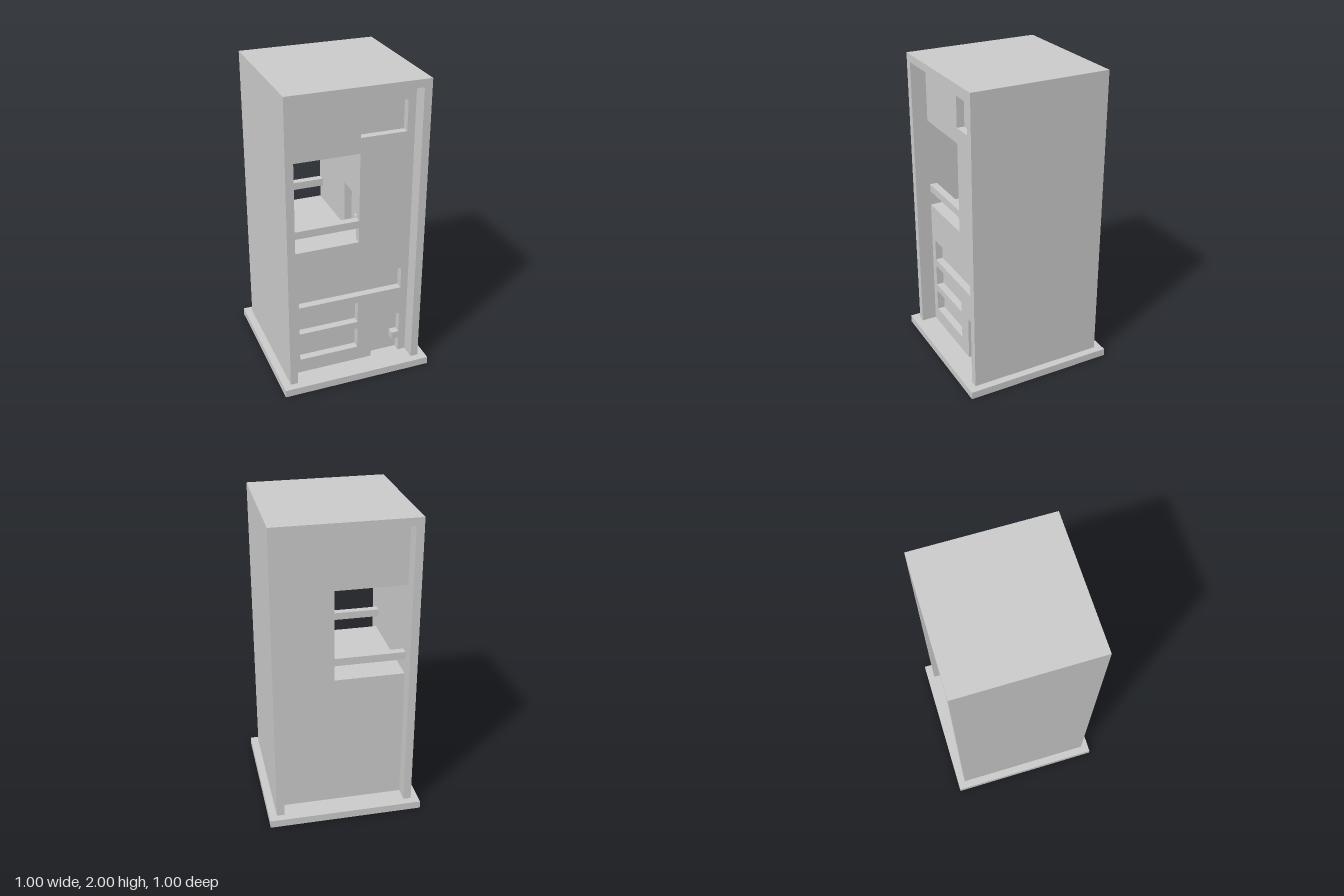
import * as THREE from 'three';

const material = new THREE.MeshStandardMaterial({ color: 0xcccccc, flatShading: true });

export function createModel() {
  const model = new THREE.Group();

  const add = (name, geometry) => {
    const mesh = new THREE.Mesh(geometry, material);
    mesh.name = name;
    model.add(mesh);
    return mesh;
  };

  // Box given by its lower and upper limits on each axis
  const box = (name, [x0, x1], [y0, y1], [z0, z1]) =>
    add(name, new THREE.BoxGeometry(x1 - x0, y1 - y0, z1 - z0))
      .position.set((x0 + x1) / 2, (y0 + y1) / 2, (z0 + z1) / 2);

  const outline = (points) => new THREE.Shape(points.map(([x, y]) => new THREE.Vector2(x, y)));
  const plate = (name, shape, depth) =>
    add(name, new THREE.ExtrudeGeometry(shape, { depth, bevelEnabled: false }));

  // Base slab
  box('base', [-0.5, 0.5], [0, 0.05], [-0.5, 0.5]);

  // Outer casing: two side walls and a roof, open at front and back
  plate('casing', outline([
    [-0.45, 0.05], [-0.4, 0.05], [-0.4, 1.95], [0.4, 1.95],
    [0.4, 0.05], [0.45, 0.05], [0.45, 2], [-0.45, 2],
  ]), 0.9).position.z = -0.45;

  // Solid body around the walk-through compartment
  const bodyDepth = [-0.35, 0.3];
  box('lowerBody', [-0.4, 0.4], [0.05, 0.95], bodyDepth);
  box('upperBody', [-0.4, 0.4], [1.55, 1.95], bodyDepth);
  box('sideBody', [0.1, 0.4], [0.95, 1.55], bodyDepth);

  // Front panel with window, rail, door cut-out and door handle in one outline
  const front = outline([
    [-0.4, 0.05], [0.15, 0.05], [0.15, 0.35], [0.35, 0.35], [0.35, 0.2], [0.3, 0.2],
    [0.3, 0.15], [0.35, 0.15], [0.35, 0.05], [0.4, 0.05], [0.4, 1.95], [-0.4, 1.95],
    [-0.4, 1.55], [0.05, 1.55], [0.05, 1.1], [-0.4, 1.1], [-0.4, 1.05], [0.05, 1.05],
    [0.05, 0.95], [-0.4, 0.95],
  ]);
  // Sunken rectangles: sign, wide slot and two lower slots
  for (const [x0, x1, y0, y1] of [
    [0.05, 0.35, 1.65, 1.85],
    [-0.35, 0.35, 0.55, 0.7],
    [-0.35, 0.05, 0.35, 0.5],
    [-0.35, 0.05, 0.15, 0.3],
  ]) front.holes.push(outline([[x0, y0], [x0, y1], [x1, y1], [x1, y0]]));
  plate('frontPanel', front, 0.05).position.z = 0.3;

  // Compartment side panel with its sunken inner door
  const inner = plate('innerPanel', outline([
    [-0.35, 0.95], [0.1, 0.95], [0.1, 1.25], [0.3, 1.25], [0.3, 1.55], [-0.35, 1.55],
  ]), 0.05);
  inner.rotation.y = -Math.PI / 2;
  inner.position.x = 0.1;
  box('innerDoorHandle', [0.05, 0.1], [1.05, 1.1], [0.25, 0.3]);

  // Rail across the rear window
  box('rearRail', [-0.4, 0.05], [1.05, 1.1], [-0.35, -0.3]);

  return model;
}
